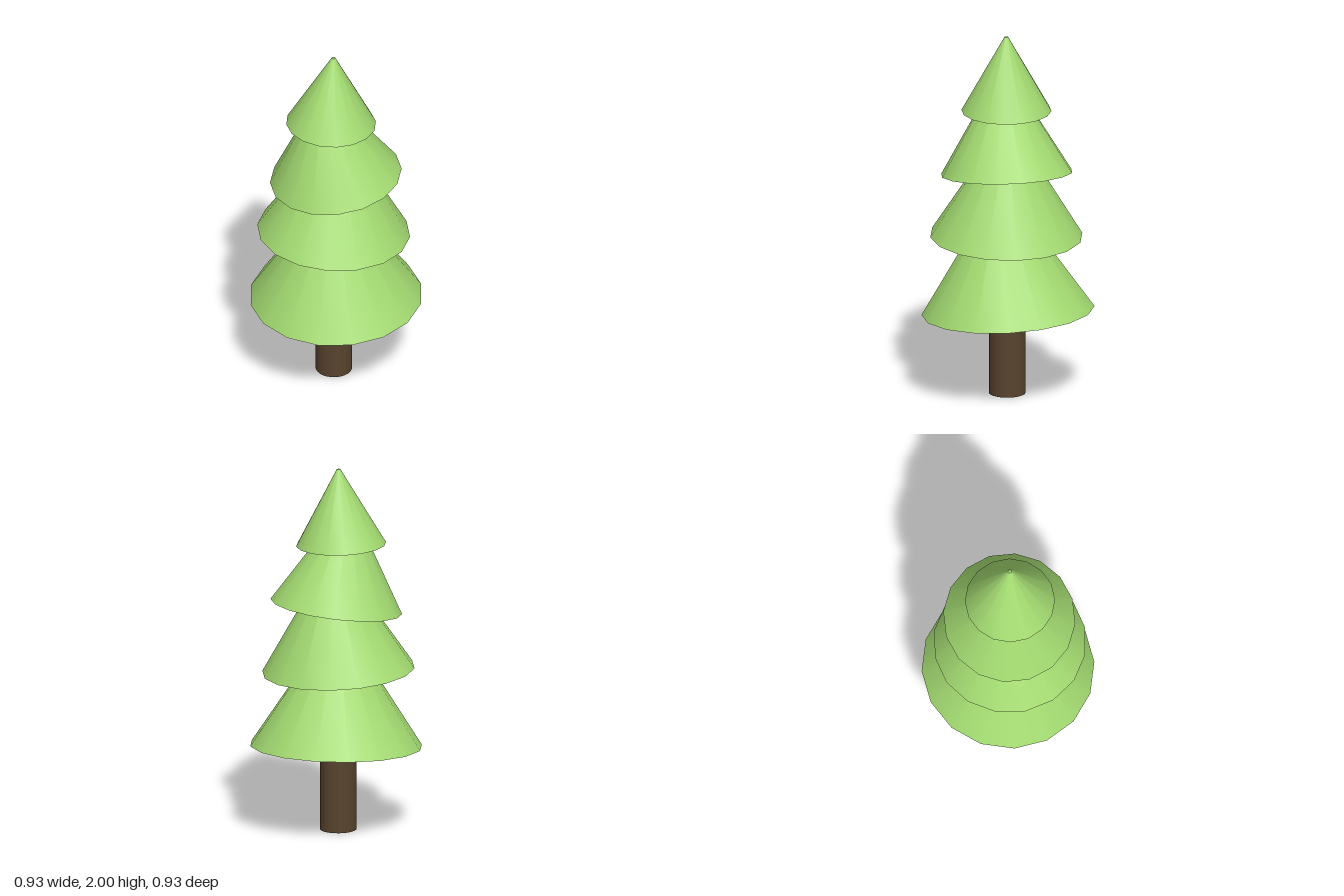
import * as THREE from 'three';

const leafGreen = new THREE.MeshStandardMaterial({ color: 0xa2d970 });
leafGreen.name = 'leafGreen';
const barkBrown = new THREE.MeshStandardMaterial({ color: 0x58432e });
barkBrown.name = 'barkBrown';

// Foliage tiers: base centre, base radius, length, base slopes along x and z, turn about the axis
const TIERS = [
  { name: 'bottomTier', base: [-0.002, 0.465, 0.0], radius: 0.467, length: 0.7, slope: [0.022, -0.055], turn: 0.06 },
  { name: 'lowerMiddleTier', base: [-0.016, 0.885, 0.01], radius: 0.413, length: 0.65, slope: [-0.05, 0.018], turn: 0.19 },
  { name: 'upperMiddleTier', base: [-0.004, 1.237, 0.007], radius: 0.357, length: 0.58, slope: [0.12, -0.04], turn: -0.1 },
  { name: 'topTier', base: [-0.03, 1.582, 0.01], radius: 0.243, length: 0.418, slope: [-0.032, 0.0], turn: 0 },
];

// A narrow-tipped cone whose origin is the centre of its base
function makeTier({ name, base, radius, length, slope, turn }) {
  const geometry = new THREE.CylinderGeometry(0.01, radius, length, 16);
  geometry.rotateY(turn);
  geometry.translate(0, length / 2, 0);
  const tier = new THREE.Mesh(geometry, leafGreen);
  tier.name = name;
  const axis = new THREE.Vector3(-slope[0], 1, -slope[1]).normalize();
  tier.quaternion.setFromUnitVectors(new THREE.Vector3(0, 1, 0), axis);
  tier.position.set(...base);
  return tier;
}

export function createModel() {
  const tree = new THREE.Group();
  tree.name = 'pineTree';

  // Trunk, running up into the bottom tier
  const trunk = new THREE.Mesh(new THREE.CylinderGeometry(0.099, 0.099, 0.6, 24), barkBrown);
  trunk.name = 'trunk';
  trunk.position.set(-0.014, 0.3, 0.005);
  tree.add(trunk);

  // Stacked, slightly tilted foliage
  const foliage = new THREE.Group();
  foliage.name = 'foliage';
  TIERS.forEach((tier) => foliage.add(makeTier(tier)));
  tree.add(foliage);

  return tree;
}
